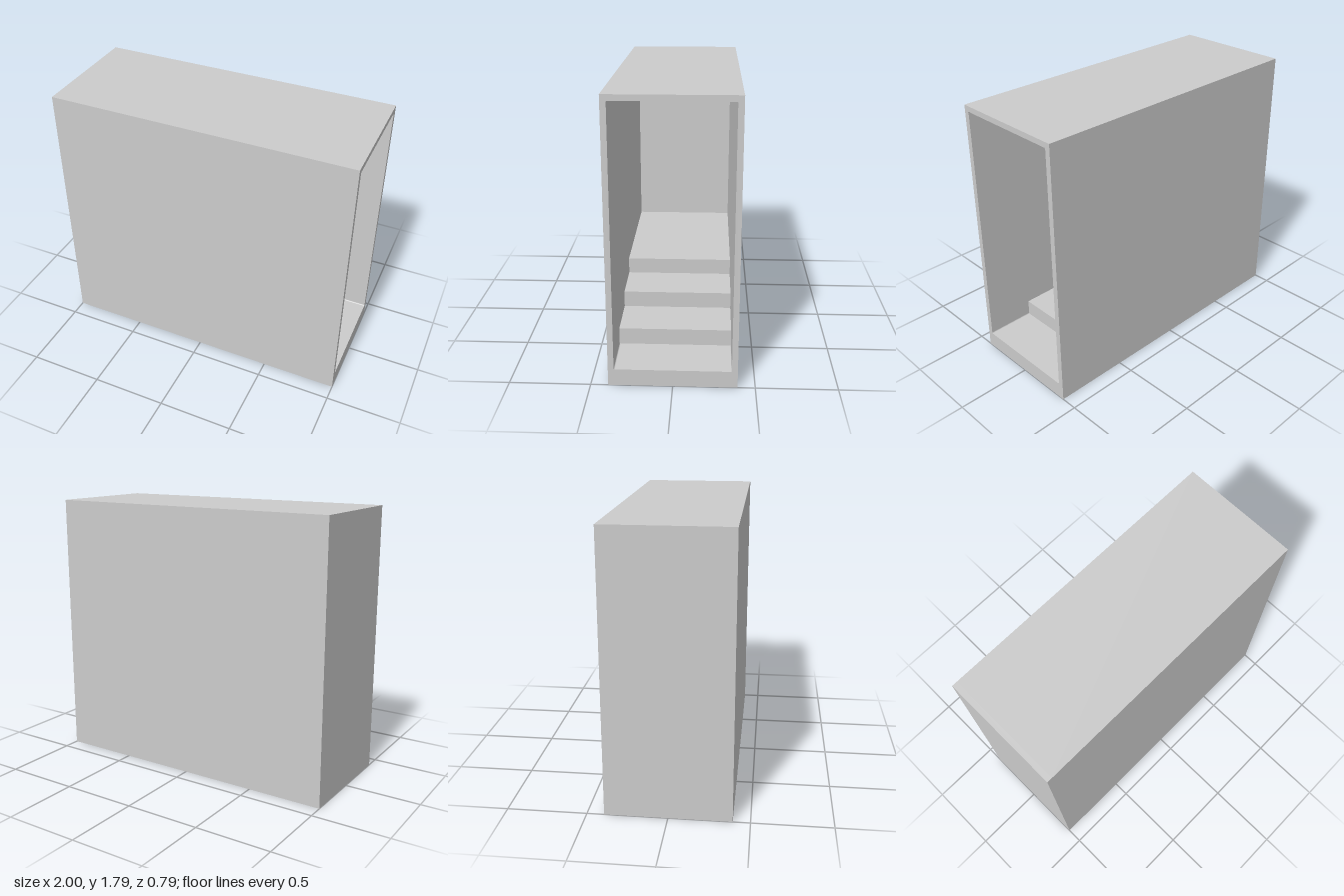
import * as THREE from 'three';

const U = 1 / 28; // wall thickness, used as the module for all sizes
const LENGTH = 56 * U, HEIGHT = 50 * U, DEPTH = 22 * U;
const FLOOR = 3 * U, RISE = 3 * U, TREAD = 9 * U;
const INNER = DEPTH - 2 * U;

// Rectangle path with slightly rounded corners
function roundedRect(path, x0, y0, x1, y1, r) {
  path.moveTo(x0 + r, y0);
  path.lineTo(x1 - r, y0);
  path.absarc(x1 - r, y0 + r, r, -Math.PI / 2, 0);
  path.lineTo(x1, y1 - r);
  path.absarc(x1 - r, y1 - r, r, 0, Math.PI / 2);
  path.lineTo(x0 + r, y1);
  path.absarc(x0 + r, y1 - r, r, Math.PI / 2, Math.PI);
  path.lineTo(x0, y0 + r);
  path.absarc(x0 + r, y0 + r, r, Math.PI, Math.PI * 1.5);
  return path;
}

export function createModel() {
  const group = new THREE.Group();
  group.name = 'openCase';
  const material = new THREE.MeshStandardMaterial({ color: 0xcccccc });
  const add = (name, geometry) => {
    const mesh = new THREE.Mesh(geometry, material);
    mesh.name = name;
    group.add(mesh);
    return mesh;
  };

  // Hollow casing: floor, roof and two long walls, open towards +x
  const section = new THREE.Shape();
  section.moveTo(-DEPTH / 2, 0);
  section.lineTo(DEPTH / 2, 0);
  section.lineTo(DEPTH / 2, HEIGHT);
  section.lineTo(-DEPTH / 2, HEIGHT);
  section.closePath();
  section.holes.push(roundedRect(new THREE.Path(), -INNER / 2, FLOOR, INNER / 2, HEIGHT - U, 0.008));
  const casing = new THREE.ExtrudeGeometry(section, { depth: LENGTH - U, bevelEnabled: false, curveSegments: 4 });
  casing.rotateY(Math.PI / 2);
  casing.translate(-LENGTH / 2 + U, 0, 0);
  add('casing', casing);

  // Closed end
  add('endWall', new THREE.BoxGeometry(U, HEIGHT, DEPTH))
    .position.set(-LENGTH / 2 + U / 2, HEIGHT / 2, 0);

  // Three steps rising away from the opening; the last runs to the end wall
  const innerEnd = -LENGTH / 2 + U;
  const profile = new THREE.Shape();
  profile.moveTo(innerEnd, FLOOR);
  for (let i = 0; i < 3; i++) {
    const x = LENGTH / 2 - (i + 1) * TREAD;
    profile.lineTo(x, FLOOR + i * RISE);
    profile.lineTo(x, FLOOR + (i + 1) * RISE);
  }
  profile.lineTo(innerEnd, FLOOR + 3 * RISE);
  profile.closePath();
  const steps = new THREE.ExtrudeGeometry(profile, { depth: INNER, bevelEnabled: false });
  steps.translate(0, 0, -INNER / 2);
  add('steps', steps);

  return group;
}
